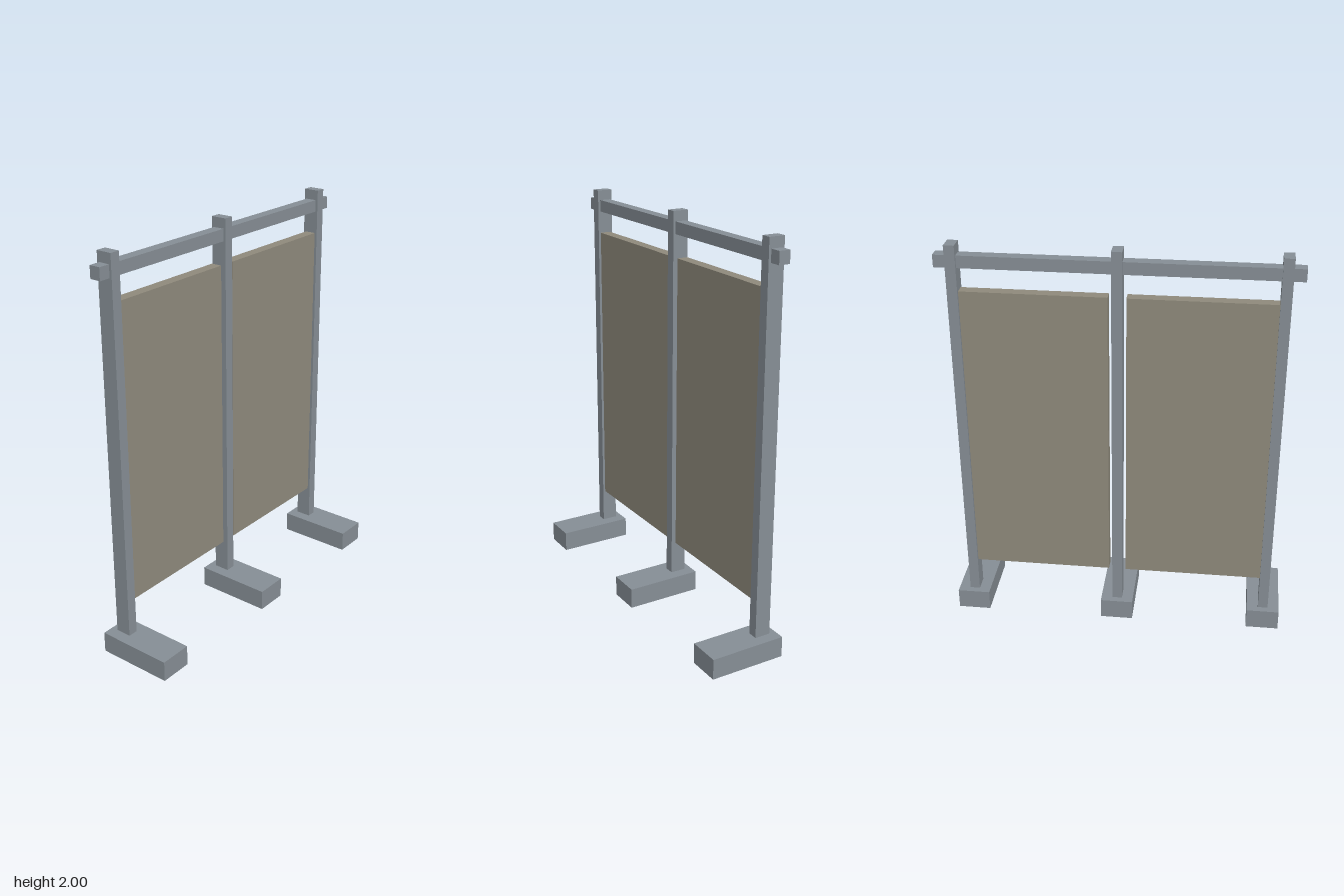
import * as THREE from 'three';

const frameGrey = new THREE.MeshStandardMaterial({ name: 'frameGrey', color: 0x868e95 });
const panelTaupe = new THREE.MeshStandardMaterial({ name: 'panelTaupe', color: 0x8f8a7c });

export function createModel() {
  const group = new THREE.Group();
  group.name = 'partitionScreen';

  const box = (name, material, [w, h, d], [x, y, z]) => {
    const mesh = new THREE.Mesh(new THREE.BoxGeometry(w, h, d), material);
    mesh.name = name;
    mesh.position.set(x, y, z);
    group.add(mesh);
  };

  const frameZ = -0.12; // posts, rail and panels share one plane near the back
  const footH = 0.104;

  // three posts, each on a foot block reaching forward
  const sides = { right: -0.758, middle: 0, left: 0.758 };
  for (const [side, x] of Object.entries(sides)) {
    box(`${side}Foot`, frameGrey, [0.164, footH, 0.388], [x, footH / 2, 0]);
    box(`${side}Post`, frameGrey, [0.05, 2 - footH, 0.08], [x, (2 + footH) / 2, frameZ]);
  }

  // top rail passing through the posts
  box('topRail', frameGrey, [1.68, 0.06, 0.056], [0, 1.92, frameZ]);

  // two panels, flush with the outer posts and clear of the middle one
  for (const [side, s] of [['right', -1], ['left', 1]]) {
    box(`${side}Panel`, panelTaupe, [0.692, 1.497, 0.055], [s * 0.389, 1.029, frameZ]);
  }

  return group;
}
